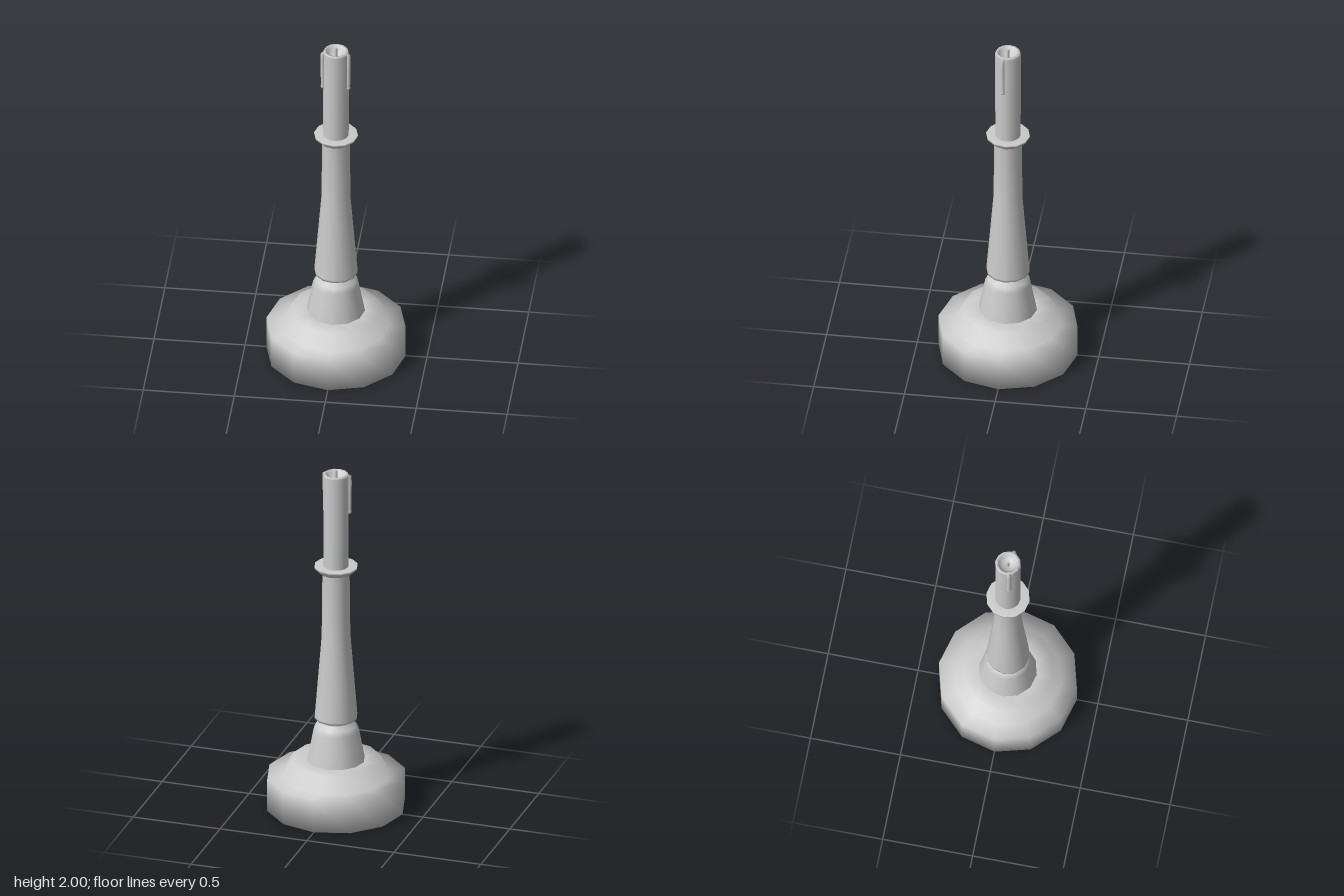
import * as THREE from 'three';

const SIDES = 12;
const material = new THREE.MeshStandardMaterial({ color: 0xcccccc });

// Revolved part from [radius, height] pairs, listed from bottom to top
function turned(name, profile, sides = SIDES) {
  const points = profile.map(([r, y]) => new THREE.Vector2(r, y));
  const mesh = new THREE.Mesh(new THREE.LatheGeometry(points, sides), material);
  mesh.name = name;
  return mesh;
}

export function createModel() {
  const model = new THREE.Group();
  model.name = 'candlestick';

  // Stepped foot
  model.add(turned('base', [
    [0, 0], [0.383, 0], [0.383, 0.19], [0.295, 0.19],
    [0.248, 0.28], [0.16, 0.28],
  ]));

  // Bell above the foot, neck, tapered column and drip collar
  model.add(turned('stem', [
    [0.16, 0.28], [0.126, 0.455], [0.112, 0.485], [0.086, 0.505],
    [0.086, 0.517], [0.118, 0.527], [0.119, 0.54], [0.08, 1.02],
    [0.076, 1.39], [0.095, 1.398], [0.12, 1.424], [0.12, 1.435], [0.06, 1.432],
  ]));

  // Hollow-topped candle
  model.add(turned('candle', [
    [0.07, 1.43], [0.071, 1.97], [0.066, 1.982], [0.055, 1.98],
    [0.05, 1.965], [0.03, 1.945], [0, 1.938],
  ]));

  // Wick
  const wick = new THREE.Mesh(new THREE.CylinderGeometry(0.009, 0.009, 0.065, 8), material);
  wick.name = 'wick';
  wick.position.y = 1.9675;
  model.add(wick);

  // Wax runs on both sides, each hooked over the rim
  for (const side of [-1, 1]) {
    const path = new THREE.CatmullRomCurve3([
      new THREE.Vector3(side * 0.055, 1.972, 0.014),
      new THREE.Vector3(side * 0.068, 1.973, 0.018),
      new THREE.Vector3(side * 0.071, 1.95, 0.02),
      new THREE.Vector3(side * 0.07, 1.85, 0.02),
      new THREE.Vector3(side * 0.069, 1.755, 0.02),
    ]);
    const run = new THREE.Mesh(new THREE.TubeGeometry(path, 12, 0.012, 8), material);
    run.name = side > 0 ? 'leftWaxRun' : 'rightWaxRun';
    const tip = new THREE.Mesh(new THREE.SphereGeometry(0.0135, 8, 6), material);
    tip.name = 'waxTip';
    tip.position.set(side * 0.069, 1.756, 0.02);
    run.add(tip);
    model.add(run);
  }

  return model;
}
